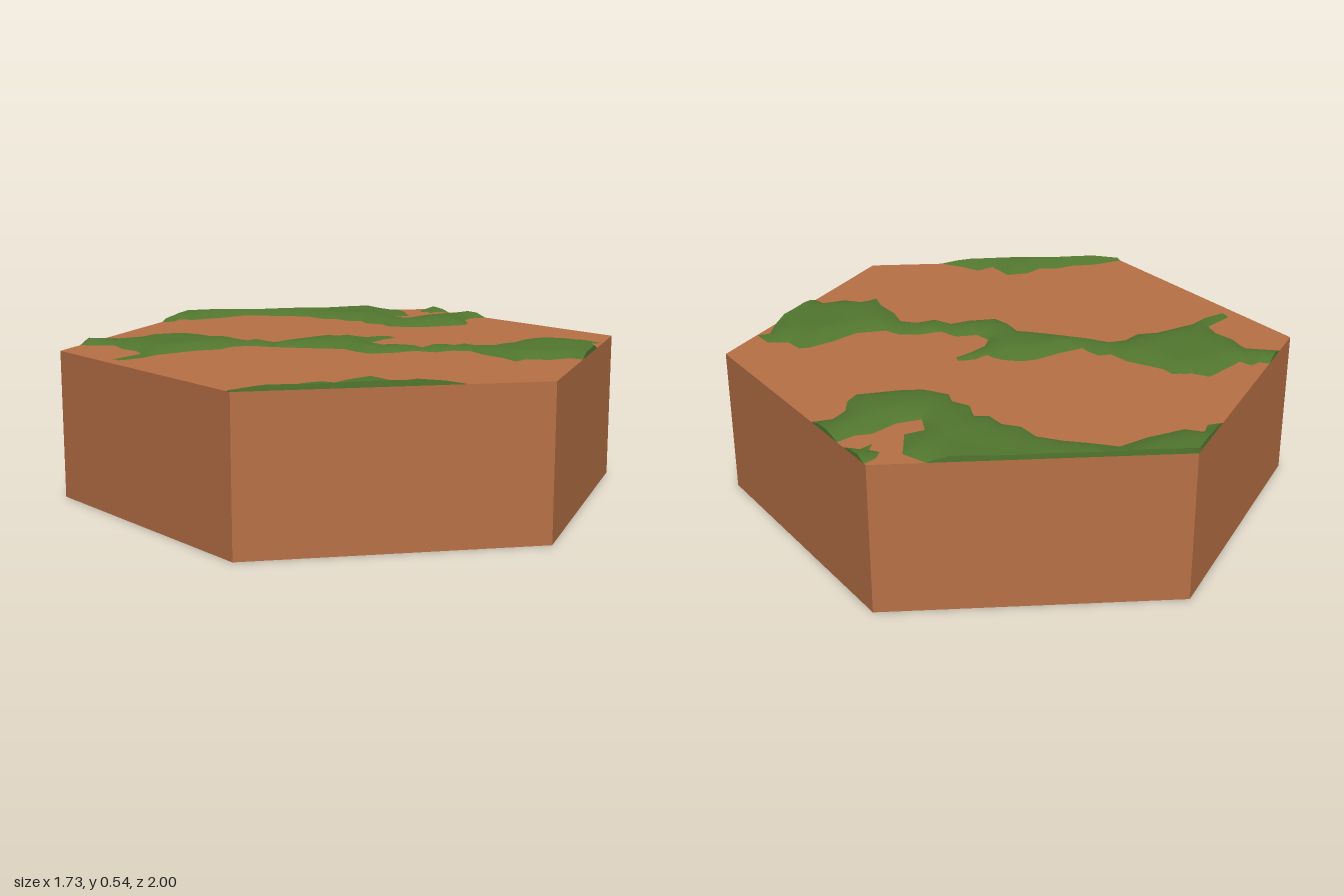
import * as THREE from 'three';
import { mergeVertices } from 'three/addons/utils/BufferGeometryUtils.js';

const TOP = 0.52, RISE = 0.021, CELL = 0.05, HALF = Math.sqrt(3) / 2;

// 1 on the hexagon's rim, smaller inside
const hexDistance = (x, z) => Math.max(Math.abs(x) / HALF, Math.abs(z) + Math.abs(x) / Math.sqrt(3));
const onRim = (a, b) => [a, b, [(a[0] + b[0]) / 2, (a[1] + b[1]) / 2]].every(p => hexDistance(...p) > 0.9995);

// Moss outlines as x, z pairs
const outlines = {
  mossCorner: [-.2, -.885, 0, -1, .71, -.59, .74, -.5, .7, -.44, .67, -.39, .6, -.4, .57, -.33, .65, -.31,
    .75, -.33, .8, -.31, .866, -.32, .866, -.15, .8, -.17, .74, -.14, .7, -.08, .65, -.05, .6, -.07,
    .52, -.1, .45, -.14, .4, -.22, .42, -.27, .39, -.33, .42, -.4, .38, -.43, .38, -.5, .34, -.55,
    .34, -.63, .29, -.7, .22, -.77, .17, -.83, .06, -.83, 0, -.84, -.07, -.85, -.11, -.9, -.16, -.86],
  mossIsland: [.866, -.49, .82, -.48, .79, -.45, .81, -.42, .78, -.39, .83, -.4, .866, -.36],
  mossBand: [-.75, -.567, -.64, -.63, -.62, -.6, -.58, -.61, -.57, -.56, -.48, -.58, -.38, -.6, -.37, -.54,
    -.31, -.53, -.31, -.46, -.28, -.4, -.25, -.34, -.24, -.26, -.19, -.24, -.19, -.16, -.1, -.15, 0, -.15,
    .06, -.13, .11, -.07, .12, -.02, .17, -.03, .23, -.01, .22, .02, .15, .03, .08, .05, .04, .09,
    .05, .15, .12, .18, .14, .25, .22, .27, .28, .31, .3, .37, .4, .41, .5, .39, .63, .385,
    .64, .47, .7, .51, .7, .59, .66, .58, .6, .654, .37, .786, .36, .74, .28, .72, .23, .66,
    .17, .67, .19, .6, .19, .5, .21, .42, .17, .37, .1, .36, .07, .29, 0, .28, -.09, .24,
    -.1, .17, -.09, .1, -.13, .06, -.18, 0, -.26, -.1, -.3, -.17, -.36, -.19, -.43, -.17, -.5, -.2,
    -.66, -.21, -.73, -.19, -.82, -.19, -.82, -.23, -.69, -.26, -.67, -.32, -.68, -.4, -.66, -.48, -.7, -.52],
  mossEdge: [-.866, .48, -.82, .49, -.75, .5, -.67, .54, -.6, .55, -.54, .59, -.47, .57, -.39, .6,
    -.39, .71, -.32, .71, -.29, .78, -.24, .861, -.866, .5],
};

// Pair up the numbers and snap points near the rim onto it
function readOutline(flat) {
  const points = [];
  for (let i = 0; i < flat.length; i += 2) {
    const d = hexDistance(flat[i], flat[i + 1]);
    const s = d > 0.985 ? 1 / d : 1;
    points.push([flat[i] * s, flat[i + 1] * s]);
  }
  return points;
}

function segmentDistance([x, z], [a, b]) {
  const dx = b[0] - a[0], dz = b[1] - a[1];
  const t = THREE.MathUtils.clamp(((x - a[0]) * dx + (z - a[1]) * dz) / (dx * dx + dz * dz), 0, 1);
  return Math.hypot(x - a[0] - t * dx, z - a[1] - t * dz);
}

// Keep the side of a polygon where sign * (coordinate - limit) >= 0
function clip(points, axis, limit, sign) {
  const out = [];
  points.forEach((a, i) => {
    const b = points[(i + 1) % points.length];
    const da = sign * (a[axis] - limit), db = sign * (b[axis] - limit);
    if (da >= 0) out.push(a);
    if ((da > 0 && db < 0) || (da < 0 && db > 0)) {
      const t = da / (da - db);
      const p = [a[0] + (b[0] - a[0]) * t, a[1] + (b[1] - a[1]) * t];
      p[axis] = limit;
      out.push(p);
    }
  });
  return out;
}

// A low mound over an outline, cut into grid cells, with upright sides on the rim
function buildMoss(outline) {
  const edges = outline.map((p, i) => [p, outline[(i + 1) % outline.length]]).filter(e => !onRim(...e));
  const lift = p => {
    const d = Math.min(...edges.map(e => segmentDistance(p, e)));
    const bumps = 0.88 + 0.12 * Math.sin(p[0] * 17) * Math.cos(p[1] * 14);
    return [p[0], TOP + RISE * Math.min(1, d / 0.05) * bumps, p[1]];
  };
  const top = [], wall = [];
  for (let i = -18; i < 18; i++) {
    const strip = clip(clip(outline, 0, i * CELL, 1), 0, (i + 1) * CELL, -1);
    if (strip.length < 3) continue;
    for (let j = -20; j < 20; j++) {
      const piece = clip(clip(strip, 1, j * CELL, 1), 1, (j + 1) * CELL, -1);
      if (piece.length < 3) continue;
      const faces = THREE.ShapeUtils.triangulateShape(piece.map(p => new THREE.Vector2(...p)), []);
      for (const face of faces) {
        const [a, b, c] = face.map(k => piece[k]);
        const area = (b[0] - a[0]) * (c[1] - a[1]) - (b[1] - a[1]) * (c[0] - a[0]);
        if (Math.abs(area) < 1e-9) continue;
        for (const p of area < 0 ? [a, b, c] : [a, c, b]) top.push(...lift(p));
      }
      piece.forEach((a, k) => {
        const b = piece[(k + 1) % piece.length];
        if (!onRim(a, b)) return;
        const [ta, tb] = [lift(a), lift(b)];
        const [la, lb] = [[a[0], TOP, a[1]], [b[0], TOP, b[1]]];
        wall.push(...la, ...ta, ...tb, ...la, ...tb, ...lb);
      });
    }
  }
  return [top, wall].map(toGeometry);
}

function toGeometry(positions) {
  const raw = new THREE.BufferGeometry();
  raw.setAttribute('position', new THREE.Float32BufferAttribute(positions, 3));
  const geometry = mergeVertices(raw, 1e-5);
  geometry.computeVertexNormals();
  return geometry;
}

export function createModel() {
  const model = new THREE.Group();
  model.name = 'hexTile';
  const earth = new THREE.MeshStandardMaterial({ color: 0xb87146 });
  earth.name = 'earth brown';
  const green = new THREE.MeshStandardMaterial({ color: 0x52772f, side: THREE.DoubleSide });
  green.name = 'moss green';

  // Hexagonal block with corners at front and back
  const block = new THREE.CylinderGeometry(1, 1, TOP, 6).toNonIndexed();
  block.computeVertexNormals();
  const base = new THREE.Mesh(block, earth);
  base.name = 'earthBlock';
  base.position.y = TOP / 2;
  model.add(base);

  // Moss patches
  for (const [name, flat] of Object.entries(outlines)) {
    const patch = new THREE.Group();
    patch.name = name;
    buildMoss(readOutline(flat)).forEach((geometry, i) => {
      const mesh = new THREE.Mesh(geometry, green);
      mesh.name = name + (i ? 'Side' : 'Top');
      patch.add(mesh);
    });
    model.add(patch);
  }
  return model;
}
